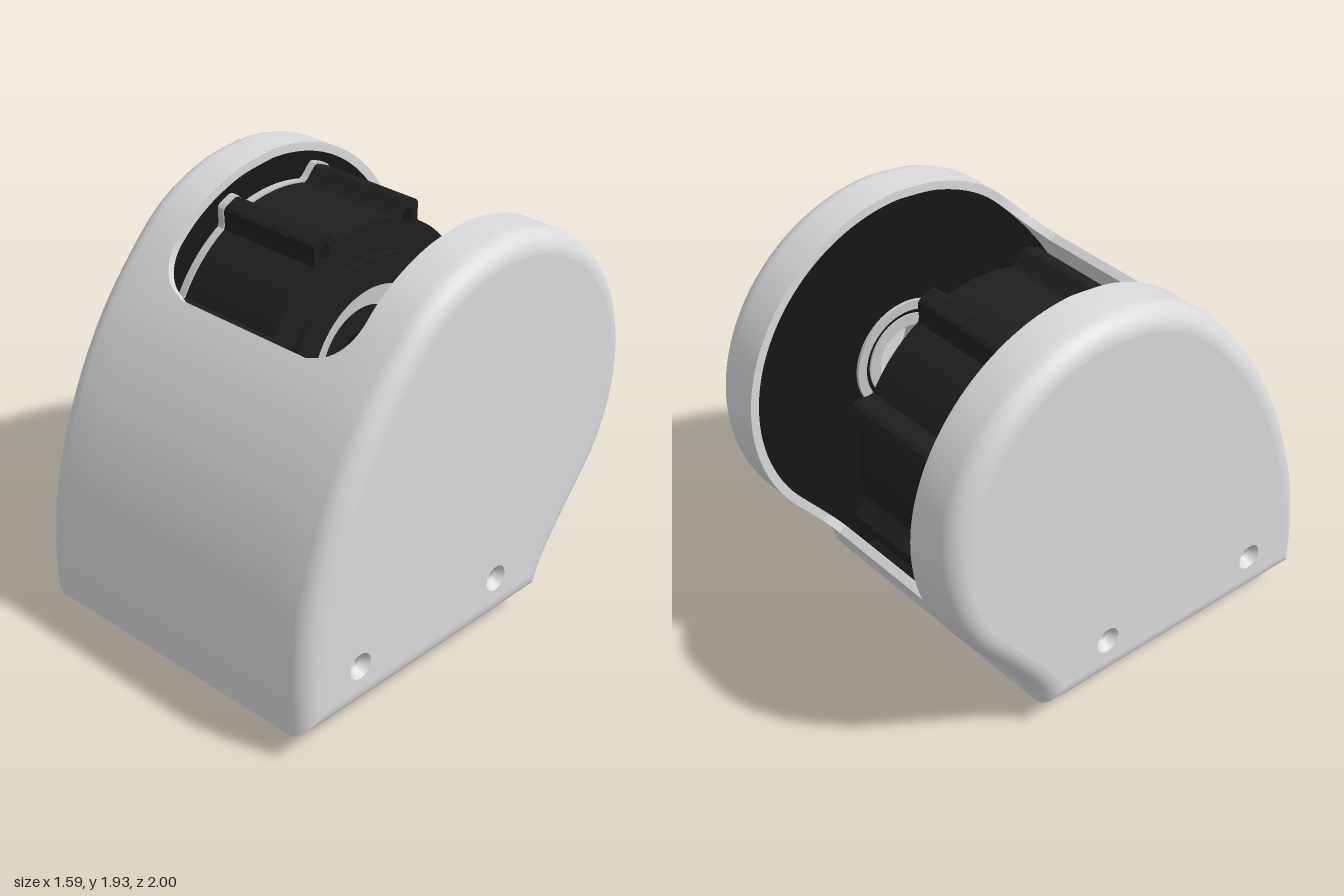
import * as THREE from 'three';
import { toCreasedNormals } from 'three/addons/utils/BufferGeometryUtils.js';

const mat = (name, color, side = THREE.FrontSide) => {
  const m = new THREE.MeshStandardMaterial({ color, side });
  m.name = name;
  return m;
};
const V2 = (x, y) => new THREE.Vector2(x, y);

// Side outline in (u, y), where u = -z: up the front, over the round top, down the back
const BOTTOM = 0.12, AXIS = V2(0.18, 1.11), WALL = 0.04;
function sideOutline() {
  const front = new THREE.SplineCurve([
    [-0.995, 0.12], [-0.995, 0.35], [-0.965, 0.61], [-0.89, 0.88], [-0.78, 1.15],
    [-0.62, 1.42], [-0.41, 1.67], [-0.24, 1.81], [-0.03, 1.9], [0.18, 1.93],
  ].map(p => V2(...p))).getSpacedPoints(120);
  const arc = [];
  for (let i = 1; i <= 60; i++) {
    const a = Math.PI / 2 - (i / 60) * THREE.MathUtils.degToRad(128);
    arc.push(V2(AXIS.x + 0.82 * Math.cos(a), AXIS.y + 0.82 * Math.sin(a)));
  }
  const heel = new THREE.CubicBezierCurve(arc[59], V2(0.63, 0.37), V2(0.51, 0.24), V2(0.495, BOTTOM));
  return [...front, ...arc, ...heel.getSpacedPoints(40).slice(1)];
}

// Move an outline inwards by d with mitred corners
function inset(pts, d) {
  const n = pts.length;
  const normal = (a, b) => V2(b.y - a.y, a.x - b.x).normalize();
  return pts.map((p, i) => {
    const n1 = normal(pts[(i + n - 1) % n], p), n2 = normal(p, pts[(i + 1) % n]);
    const m = n1.clone().add(n2).divideScalar(1 + n1.dot(n2)).multiplyScalar(d).add(p);
    m.y = Math.max(m.y, BOTTOM + d);
    return m;
  });
}

// Skin a list of closed rings of [x, y, z]
function loft(rings, flip = false) {
  const n = rings[0].length, index = [];
  for (let k = 0; k < rings.length - 1; k++) for (let j = 0; j < n; j++) {
    const a = k * n + j, d = k * n + (j + 1) % n, b = a + n, c = d + n;
    index.push(...(flip ? [a, c, b, a, d, c] : [a, b, c, a, c, d]));
  }
  const g = new THREE.BufferGeometry();
  g.setAttribute('position', new THREE.Float32BufferAttribute(rings.flat(2), 3));
  g.setIndex(index);
  return toCreasedNormals(g, 0.5);
}

const circle = (x, y, r) => new THREE.Path().absarc(x, y, r, 0, Math.PI * 2, true);

// Slab from a (u, y) shape between two x positions
function slab(shape, x0, x1) {
  const g = new THREE.ExtrudeGeometry(shape, { depth: x1 - x0, bevelEnabled: false, curveSegments: 32 });
  g.rotateY(Math.PI / 2).translate(x0, 0, 0);
  return toCreasedNormals(g, 0.5);
}

// Turned ring around y
function ring(rin, rout, y0, y1) {
  const p = [[rout, y0], [rout, y1], [rin, y1], [rin, y0], [rout, y0]].map(q => V2(...q));
  return toCreasedNormals(new THREE.LatheGeometry(p, 64), 0.5);
}
// Turned ring around the joint axis
const axisRing = (rin, rout, x0, x1) =>
  ring(rin, rout, x0, x1).rotateZ(-Math.PI / 2).translate(0, AXIS.y, -AXIS.x);

export function createModel() {
  const root = new THREE.Group();
  root.name = 'jointHousing';
  const shell = mat('shell light grey', 0xd8dadc, THREE.DoubleSide);
  const plate = mat('plate black', 0x161616);
  const motor = mat('motor black', 0x1f1f1f);
  const metal = mat('bearing grey', 0xc4c6c8);
  const add = (name, geo, material, parent = root) => {
    const m = new THREE.Mesh(geo, material);
    m.name = name;
    parent.add(m);
    return m;
  };

  const outer = sideOutline(), inner = inset(outer, WALL);
  const IN = 0.54, OUT = 0.795, R = 0.095;
  const screws = [V2(-0.675, 0.335), V2(0.175, 0.335)];

  // Two rounded side covers, each with a black inner plate
  for (const s of [1, -1]) {
    const side = new THREE.Group();
    side.name = s > 0 ? 'leftSide' : 'rightSide';
    root.add(side);
    const steps = [[0.75, WALL], [IN, WALL], [IN, 0]];
    for (let i = 0; i <= 8; i++) {
      const a = (i / 8) * Math.PI / 2;
      steps.push([OUT - R + R * Math.sin(a), R - R * Math.cos(a)]);
    }
    const rings = steps.map(([x, d]) => inset(outer, d).map(p => [s * x, p.y, -p.x]));
    add('sideRim', loft(rings, s < 0), shell, side);

    const span = (a, b) => (s > 0 ? [a, b] : [-b, -a]);
    const cap = new THREE.Shape(inset(outer, R));
    cap.holes = screws.map(p => circle(p.x, p.y, 0.06));
    add('sideFace', slab(cap, ...span(0.75, OUT)), shell, side);

    const liner = new THREE.Shape(inner);
    liner.holes = screws.map(p => circle(p.x, p.y, 0.03));
    if (s > 0) liner.holes.push(circle(AXIS.x, AXIS.y, 0.16));
    add('innerPlate', slab(liner, ...span(0.545, 0.565)), plate, side);

    // Countersunk screw holes and their inner bosses
    for (const p of screws) {
      const sink = new THREE.LatheGeometry([V2(0.028, 0.54), V2(0.028, 0.755), V2(0.06, OUT)], 24);
      sink.rotateZ(-s * Math.PI / 2).translate(0, p.y, -p.x);
      add('screwHole', toCreasedNormals(sink, 0.5), shell, side);
      const boss = ring(0.03, 0.06, 0.51, 0.55).rotateZ(-s * Math.PI / 2).translate(0, p.y, -p.x);
      add('screwBoss', boss, plate, side);
    }
  }

  // Front and back walls between the covers, with rounded opening corners
  const section = (j, xa, xb, closed) => {
    const o = outer[j], i = closed ? o : inner[j];
    return [[xb, o.y, -o.x], [xa, o.y, -o.x], [xa, i.y, -i.x], [xb, i.y, -i.x]];
  };
  function wall(name, isPart, yEdge, yEnd, corner) {
    const ids = outer.map((p, j) => j).filter(isPart);
    const body = ids.filter(j => outer[j].y <= yEdge);
    const rings = body.map(j => section(j, -IN, IN));
    const atFront = body[0] === 0;
    const edge = atFront ? body[body.length - 1] : body[0];
    if (atFront) rings.push(section(edge, -IN, IN, true));
    else rings.unshift(section(edge, -IN, IN, true));
    add(name, loft(rings), shell);
    const fillet = ids.filter(j => j === edge || (outer[j].y > yEdge && outer[j].y <= yEnd));
    for (const s of [1, -1]) {
      add(name + 'Corner', loft(fillet.map(j => {
        const t = Math.min(1, Math.max(0, (yEnd - outer[j].y) / (yEnd - yEdge)));
        const w = IN - corner + corner * Math.sqrt(1 - t * t);
        return s > 0 ? section(j, w, IN) : section(j, -IN, -w);
      })), shell);
    }
  }
  wall('frontWall', j => j < 110, 1.54, 1.7, 0.18);
  wall('backWall', j => j > 170, 0.38, 0.44, 0.06);

  // Base plate with its round opening (shape in x, -z)
  const flat = (shape, y0, y1) => {
    const g = new THREE.ExtrudeGeometry(shape, { depth: y1 - y0, bevelEnabled: false, curveSegments: 40 });
    return toCreasedNormals(g.rotateX(-Math.PI / 2).translate(0, y0, 0), 0.5);
  };
  const BZ = 0.25;
  const base = new THREE.Shape([V2(-0.72, -0.95), V2(0.72, -0.95), V2(0.72, 0.46), V2(-0.72, 0.46)]);
  base.holes.push(circle(0, -BZ, 0.46));
  add('basePlate', flat(base, 0.114, 0.165), plate);

  // Lower drive: tube, side tab and drilled output disc
  add('lowerTube', ring(0.31, 0.355, 0.04, 0.28).translate(0, 0, BZ), motor);
  add('lowerTab', new THREE.BoxGeometry(0.33, 0.08, 0.16).translate(-0.495, 0.08, BZ), motor);
  const disc = new THREE.Shape().absarc(0, -BZ, 0.355, 0, Math.PI * 2);
  disc.holes.push(circle(0, -BZ, 0.14));
  for (let i = 0; i < 12; i++) {
    const a = i * Math.PI / 6;
    disc.holes.push(circle(0.25 * Math.cos(a), -BZ + 0.25 * Math.sin(a), 0.036));
  }
  add('outputDisc', flat(disc, 0.002, 0.012), motor);
  add('outputRim', ring(0.355, 0.38, 0, 0.014).translate(0, 0, BZ), metal);

  // Motor body with eight lugs around the joint axis
  const lugs = (grow, hole) => {
    const pts = [];
    for (let i = 0; i < 288; i++) {
      const a = (i / 288) * Math.PI * 2;
      const off = Math.abs(((a / (Math.PI / 4)) % 1) - 0.5) * Math.PI / 4;
      const r = grow + 0.645 + 0.085 * (1 - THREE.MathUtils.smoothstep(off, 0.05, 0.13));
      pts.push(V2(AXIS.x + r * Math.cos(a), AXIS.y + r * Math.sin(a)));
    }
    const shape = new THREE.Shape(pts);
    shape.holes.push(circle(AXIS.x, AXIS.y, hole));
    return shape;
  };
  add('motorBody', slab(lugs(0, 0.36), -0.51, 0.02), motor);
  add('motorGasket', slab(lugs(0.008, 0.36), -0.545, -0.511), metal);
  add('motorFlange', axisRing(0.36, 0.5, 0.015, 0.05), motor);
  add('motorBearing', axisRing(0.25, 0.36, -0.1, 0), metal);
  add('motorCore', axisRing(0.12, 0.25, -0.3, -0.03), motor);
  add('motorBack', axisRing(0.001, 0.36, -0.4, -0.3), metal);
  for (let i = 0; i < 8; i++) {
    const a = (i + 0.5) * Math.PI / 4;
    const screw = new THREE.CylinderGeometry(0.028, 0.028, 0.008, 16).rotateZ(-Math.PI / 2);
    screw.translate(0.022, AXIS.y + 0.66 * Math.sin(a), -AXIS.x - 0.66 * Math.cos(a));
    add('lugScrew', screw, plate);
  }

  // Support bearing on the left inner plate
  add('bearingOuterRing', axisRing(0.225, 0.27, 0.53, 0.56), metal);
  add('bearingGroove', axisRing(0.205, 0.225, 0.538, 0.56), plate);
  add('bearingInnerRing', axisRing(0.15, 0.205, 0.53, 0.74), metal);
  return root;
}
